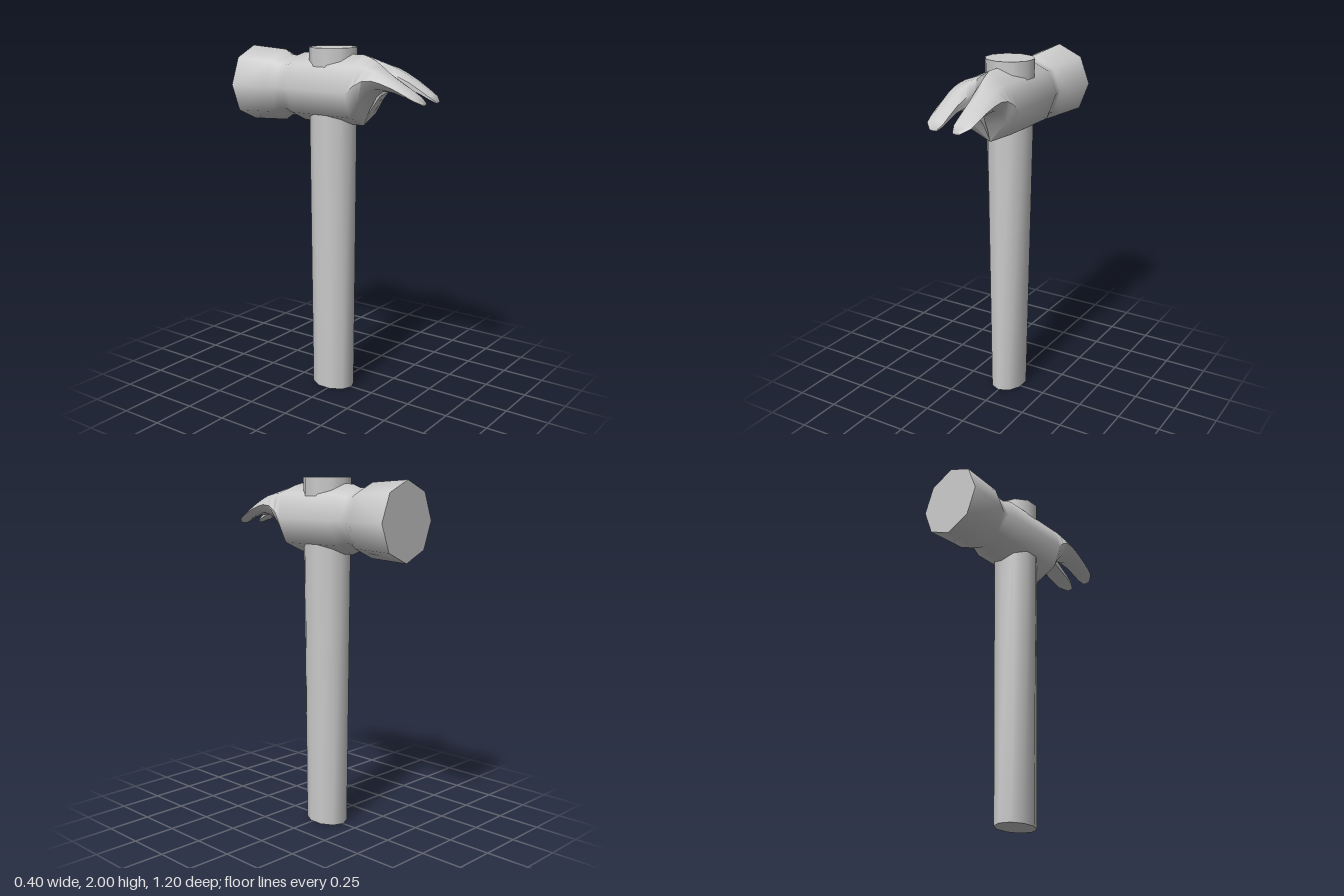
import * as THREE from 'three';
import { mergeVertices, toCreasedNormals } from 'three/addons/utils/BufferGeometryUtils.js';

const CREASE = Math.PI / 3;

// Head sections from striking face to claw tips:
// z, half width, top y, bottom y, inner x (slot), sideways shift of the ridge (0..1)
const SECTIONS = [
  [-0.6, 0.2, 1.99, 1.56, 0, 0],
  [-0.36, 0.188, 1.975, 1.572, 0, 0],
  [-0.315, 0.16, 1.947, 1.602, 0, 0],
  [-0.275, 0.16, 1.945, 1.604, 0, 0],
  [-0.22, 0.18, 1.965, 1.582, 0, 0],
  [0.18, 0.18, 1.965, 1.58, 0, 0],
  [0.225, 0.174, 1.953, 1.672, 0, 0.04],
  [0.275, 0.168, 1.935, 1.745, 0, 0.1],
  [0.33, 0.162, 1.912, 1.778, 0.002, 0.25],
  [0.38, 0.156, 1.885, 1.784, 0.015, 0.33],
  [0.45, 0.148, 1.845, 1.778, 0.025, 0.37],
  [0.52, 0.14, 1.8, 1.76, 0.028, 0.4],
  [0.565, 0.132, 1.77, 1.743, 0.03, 0.4],
  [0.6, 0.095, 1.742, 1.727, 0.045, 0.4],
];

// Eight points of one half section: ridge, outer side, underside, slot wall
function halfRing([z, w, t, b, xi, k]) {
  const cy = (t + b) / 2, h = (t - b) / 2;
  const xr = xi + (w - xi) * k;
  const xo = xr + (w - xr) * 0.707;
  return [
    [xr, t, z], [xo, cy + h * 0.707, z], [w, cy, z], [xo, cy - h * 0.707, z],
    [xr, b, z], [xi, cy - h * 0.5, z], [xi, cy, z], [xi, cy + h * 0.5, z],
  ];
}

function headGeometry() {
  const pos = [];
  for (const s of [1, -1]) {
    const tri = (a, b, c) => {
      for (const p of s > 0 ? [a, b, c] : [a, c, b]) pos.push(p[0] * s, p[1], p[2]);
    };
    const rings = SECTIONS.map(halfRing);
    for (let i = 0; i < rings.length - 1; i++) {
      for (let j = 0; j < 8; j++) {
        const n = (j + 1) % 8;
        const a = rings[i][j], b = rings[i][n], c = rings[i + 1][j], d = rings[i + 1][n];
        // no wall where the two halves join
        if ([a, b, c, d].every((p) => p[0] === 0)) continue;
        tri(a, c, b);
        tri(b, c, d);
      }
    }
    // striking face and claw tip
    const first = rings[0], last = rings[rings.length - 1];
    for (let j = 1; j < 7; j++) {
      if (j < 4) tri(first[0], first[j], first[j + 1]);
      tri(last[0], last[j + 1], last[j]);
    }
  }
  const g = new THREE.BufferGeometry();
  g.setAttribute('position', new THREE.Float32BufferAttribute(pos, 3));
  return toCreasedNormals(mergeVertices(g), CREASE);
}

// Ten-sided handle, narrowing toward the bottom in x only
function handleGeometry() {
  const g = new THREE.CylinderGeometry(0.132, 0.132, 2, 10, 1);
  g.translate(0, 1, -0.025);
  const p = g.attributes.position;
  for (let i = 0; i < p.count; i++) {
    const k = THREE.MathUtils.lerp(0.1, 0.14, p.getY(i) / 2) / 0.132;
    p.setX(i, p.getX(i) * k);
  }
  return toCreasedNormals(g, CREASE);
}

export function createModel() {
  const group = new THREE.Group();
  group.name = 'hammer';
  const material = new THREE.MeshStandardMaterial({ color: 0xcccccc });
  const add = (name, geometry) => {
    const mesh = new THREE.Mesh(geometry, material);
    mesh.name = name;
    group.add(mesh);
  };
  add('handle', handleGeometry());
  add('clawHead', headGeometry());
  return group;
}
